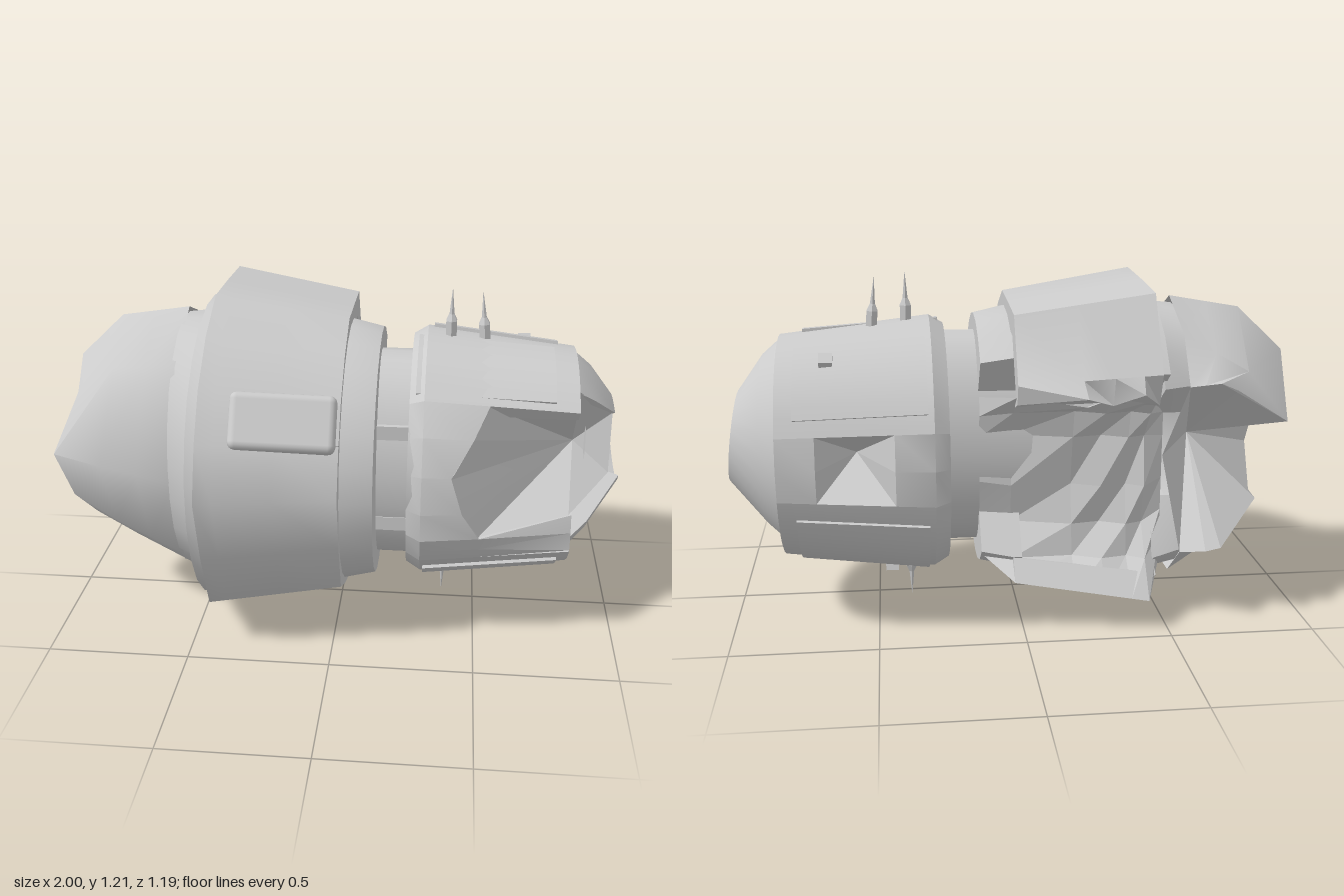
import * as THREE from 'three';
import { toCreasedNormals, mergeVertices } from 'three/addons/utils/BufferGeometryUtils.js';
import { RoundedBoxGeometry } from 'three/addons/geometries/RoundedBoxGeometry.js';

const mat = new THREE.MeshStandardMaterial({ color: 0xcccccc, side: THREE.DoubleSide });
const V = (x, y, z) => new THREE.Vector3(x, y, z);
const CY = 0.62, CZ = -0.05;

// point at station x, radius r, angle a in degrees (0 = top, 90 = front, 270 = back)
function polar(x, r, a, cy = CY, cz = CZ, rz = r) {
  const t = THREE.MathUtils.degToRad(a);
  return V(x, cy + r * Math.cos(t), cz + rz * Math.sin(t));
}

function meshFrom(name, tris, crease) {
  let geo = new THREE.BufferGeometry().setFromPoints(tris);
  geo = toCreasedNormals(mergeVertices(geo), crease);
  const m = new THREE.Mesh(geo, mat);
  m.name = name;
  return m;
}

// skin through a row of cross-sections; closed sections get end caps
function loft(name, rows, { closed = true, crease = 0.65 } = {}) {
  const tris = [], n = rows[0].length;
  for (let i = 0; i < rows.length - 1; i++) {
    for (let j = 0; j < (closed ? n : n - 1); j++) {
      const k = (j + 1) % n;
      const [a, b, c, d] = [rows[i][j], rows[i][k], rows[i + 1][k], rows[i + 1][j]];
      tris.push(a, b, c, a, c, d);
    }
  }
  if (closed) {
    for (const row of [rows[0], rows[rows.length - 1]]) {
      const mid = row.reduce((s, p) => s.add(p), V(0, 0, 0)).divideScalar(n);
      row.forEach((p, j) => tris.push(p, row[(j + 1) % n], mid));
    }
  }
  return meshFrom(name, tris, crease);
}

// closed [x, r, rz] profile swept round the hull axis between two angles
function arc(name, profile, a0, a1, n, cz = CZ) {
  const rows = [];
  for (let i = 0; i <= n; i++) {
    const a = a0 + ((a1 - a0) * i) / n;
    rows.push(profile.map(([x, r, rz = r]) => polar(x, r, a, CY, cz, rz)));
  }
  return loft(name, rows);
}

// torn hollow: folded faces running from a rim loop down to a pit
function crater(name, rim, pit, folds = [0.25, 0.5]) {
  const loop = [];
  rim.forEach((p, i) => loop.push(p, p.clone().lerp(rim[(i + 1) % rim.length], 0.5)));
  const mid = loop.map((p, i) => p.clone().lerp(pit, folds[i % 2]));
  const tris = [];
  loop.forEach((p, i) => {
    const k = (i + 1) % loop.length;
    tris.push(p, loop[k], mid[k], p, mid[k], mid[i], mid[i], mid[k], pit);
  });
  return meshFrom(name, tris, 0.05);
}

export function createModel() {
  const g = new THREE.Group();
  g.name = 'wreckedHull';

  // main armour ring, torn open at the back; outline is [z, y]
  const outline = [[-0.5, 0.88], [-0.54, 0.95], [-0.39, 1.19], [-0.16, 1.205], [0.07, 1.215], [0.26, 1.13], [0.42, 1.0],
    [0.52, 0.85], [0.59, 0.67], [0.52, 0.43], [0.42, 0.2], [0.24, 0.11], [0.05, 0.042], [-0.15, 0.042], [-0.45, 0.13]];
  const ringX = [-0.43, -0.37, -0.28, -0.18, 0.03];
  const tornZ = [-0.5, -0.56, -0.49, -0.6, -0.45];
  const ringPoint = (x, [z, y], k = 1) => {
    const s = k * (1 - 0.28 * (x + 0.43));
    return V(x, 0.63 + (y - 0.63) * s, -0.02 + (z + 0.02) * s);
  };
  g.add(loft('armourRing', outline.map((p, i) => {
    const outer = ringX.map((x, j) => (i === 0 ? V(x, 0.84 + (j % 2) * 0.05, tornZ[j]) : ringPoint(x, p)));
    const inner = ringX.map((x) => ringPoint(x, p, 0.84)).reverse();
    return [...outer, ...inner];
  }), { crease: 0.8 }));

  // breach wall: drops in from the torn edge, runs nearly flat, then flares to the lower lip
  const wall = [[0.78, -0.36], [0.68, -0.3], [0.5, -0.29], [0.36, -0.29], [0.25, -0.34]];
  const breach = [
    ringX.map((x, j) => V(x, 0.86, tornZ[j] + 0.02)),
    ...wall.map(([y, z], i) => ringX.map((x, j) => V(x, y, z + 0.12 * (x + 0.43) + (((i + j) % 2) - 0.5) * 0.03))),
    ringX.map((x) => ringPoint(x, [-0.45, 0.13])),
  ].map((row) => {
    const turnIn = (p, x) => V(x, CY + (p.y - CY) * 0.85, Math.max(p.z, -0.26));
    return [turnIn(row[0], -0.5), ...row, turnIn(row[4], 0.14)];
  });
  g.add(loft('breachWall', breach, { closed: false, crease: 0.05 }));

  // stepped bands either side of the armour ring
  g.add(arc('rearFlange', [[-0.47, 0.55], [-0.42, 0.555], [-0.42, 0.3], [-0.47, 0.3]], -55, 218, 18, -0.02));
  g.add(arc('rearBand', [[-0.57, 0.48, 0.39], [-0.46, 0.49, 0.47], [-0.46, 0.25], [-0.57, 0.25]], -58, 222, 18));
  g.add(arc('frontBand', [[0.0, 0.475], [0.03, 0.475], [0.14, 0.45], [0.14, 0.25], [0.0, 0.25]], -42, 222, 18, -0.02));
  const core = [-0.5, 0.3].map((x) => Array.from({ length: 24 }, (_, i) => polar(x, 0.39, i * 15, CY, 0, 0.255)));
  g.add(loft('neckCore', core));
  for (const a of [62, 118]) { // ribs crossing the neck
    const rib = new THREE.Mesh(new THREE.BoxGeometry(0.14, 0.05, 0.05), mat);
    rib.position.copy(polar(0.2, 0.37, a, CY, 0, 0.24));
    rib.name = 'neckRib';
    g.add(rib);
  }

  // rear dome with a ragged, notched rim
  const rim = [V(-0.72, 0.86, -0.41), V(-0.92, 0.73, -0.34), V(-0.97, 0.93, -0.08), V(-0.94, 0.85, 0.1), V(-1, 0.67, 0.25),
    V(-0.95, 0.5, 0.22), V(-0.925, 0.35, 0.06), V(-0.9, 0.37, -0.1), V(-0.7, 0.28, -0.36)];
  const domeAngles = [-60, -36, 0, 42, 90, 130, 165, 198, 226];
  const domeRows = rim.map((e, i) => {
    const s = polar(-0.555, 0.51, domeAngles[i], CY, -0.06, 0.4);
    const m = s.clone().lerp(e, 0.6);
    m.y += (m.y - CY) * [0.1, 0.25, 0.2, 0.2, 0.2, 0, 0, 0, 0][i];
    m.z += (m.z - CZ) * 0.06;
    return [s, s.clone().lerp(m, 0.5), m, e];
  });
  g.add(loft('rearDome', domeRows, { closed: false, crease: 0.9 }));
  const first = domeRows[0], last = domeRows[8];
  g.add(crater('rearHollow', [...rim, last[2], last[0], V(-0.5, 0.6, -0.27), first[0], first[2]], V(-0.66, 0.6, 0.02)));

  // nose hull: torn open at the front, holed at the back
  const noseR = (x) => (x < 0.3 ? 0.42 + (x - 0.25) * 0.6 : 0.45 - (x - 0.3) * 0.115);
  const slab = (x0, x1) => [[x0, noseR(x0)], ...(x0 < 0.3 ? [[0.3, 0.45]] : []), [x1, noseR(x1)], [x1, 0.33], [x0, 0.33]];
  g.add(arc('noseHullLower', slab(0.25, 0.82), 128, 256, 12));
  g.add(arc('noseHullUpper', slab(0.25, 0.82), 288, 406, 12));
  g.add(arc('noseHullBackAft', slab(0.25, 0.43), 256, 288, 2));
  g.add(arc('noseHullBackFore', slab(0.69, 0.82), 256, 288, 2));
  const torn = [[46, 0.52], [62, 0.47], [80, 0.4], [98, 0.44], [112, 0.5]];
  g.add(loft('noseHullTornEdge', torn.map(([a, x1]) => slab(0.25, x1).map(([x, r]) => polar(x, r * (1 - 0.05 * Math.sin((a - 46) / 21)), a)))));
  g.add(loft('noseHullBentLip', [[112, 0.3], [120, 0.345], [128, 0.385]].map(([a, r]) =>
    [[0.25, 0.42], [0.3, 0.45], [0.5, 0.427], [0.82, r], [0.82, r - 0.04], [0.25, 0.33]].map(([x, q]) => polar(x, q, a)))));
  g.add(arc('noseCollar', [[0.25, 0.41], [0.31, 0.41], [0.31, 0.2], [0.25, 0.2]], 0, 360, 24));

  const onNose = (x, a, out = 0) => polar(x, noseR(x) + out, a);
  const frontRim = [...torn.map(([a, x]) => onNose(x, a, -0.01)).reverse(), onNose(0.81, 46), polar(0.82, 0.365, 35, 0.64),
    V(0.96, 0.8, -0.01), V(0.96, 0.58, 0.02), polar(0.81, 0.3, 112)];
  g.add(crater('frontHollow', frontRim, V(0.83, 0.68, -0.03), [0.3, 0.42]));
  const backRim = [[0.43, 256], [0.56, 256], [0.69, 256], [0.69, 272], [0.69, 288], [0.56, 288], [0.43, 288], [0.43, 272]];
  g.add(crater('backHole', backRim.map(([x, a]) => onNose(x, a)), V(0.56, 0.64, -0.25), [0.1, 0.3]));

  // nose cone with a round mouth, broken away towards the front
  const coneRows = [];
  for (let i = 0; i <= 18; i++) {
    const a = 128 + (267 * i) / 18, tip = 0.985 - 0.02 * Math.cos(THREE.MathUtils.degToRad(a));
    coneRows.push([polar(0.81, 0.365, a, 0.64), polar(0.88, 0.3, a, 0.645, -0.06),
      polar(tip, 0.158, a, 0.67, -0.1), polar(0.86, 0.11, a, 0.67, -0.1), polar(0.81, 0.2, a, 0.65, -0.07)]);
  }
  g.add(loft('noseCone', coneRows));
  const mouth = new THREE.Mesh(new THREE.CircleGeometry(0.13, 24), mat);
  mouth.rotation.y = Math.PI / 2;
  mouth.position.set(0.87, 0.67, -0.1);
  mouth.name = 'mouthFloor';
  g.add(mouth);

  // raised plates lying on the nose hull
  for (const [a0, a1, x0, x1] of [[2, 42, 0.27, 0.74], [296, 350, 0.32, 0.76], [136, 172, 0.31, 0.78], [190, 246, 0.32, 0.76]]) {
    g.add(arc('nosePlate', [[x0, noseR(x0) + 0.01], [x1, noseR(x1) + 0.01], [x1, 0.36], [x0, 0.36]], a0, a1, 8));
  }

  // side pod on the armour ring
  const pod = new THREE.Group();
  pod.name = 'sidePod';
  const body = new THREE.Mesh(new RoundedBoxGeometry(0.35, 0.19, 0.13, 2, 0.025), mat);
  body.name = 'podBody';
  const vent = new THREE.Mesh(new THREE.BoxGeometry(0.02, 0.13, 0.06), mat);
  vent.position.x = 0.175;
  vent.name = 'podVent';
  pod.add(body, vent);
  pod.position.set(-0.155, 0.89, 0.415);
  pod.rotation.set(-0.55, 0.09, 0);
  g.add(pod);

  // antenna spikes
  const spikeProfile = [[0, 0], [0.022, 0], [0.022, 0.06], [0.01, 0.085], [0, 0.18]].map(([x, y]) => new THREE.Vector2(x, y));
  for (const [x, y, z, dir, tilt] of [[0.38, 1.05, -0.05, 1, 0], [0.5, 1.035, -0.07, 1, 0.08], [0.38, 0.2, -0.05, -1, 0]]) {
    const spike = new THREE.Mesh(toCreasedNormals(new THREE.LatheGeometry(spikeProfile, 6), 0.3), mat);
    spike.position.set(x, y, z);
    spike.rotation.set(dir < 0 ? Math.PI : 0, 0, tilt);
    spike.name = 'antennaSpike';
    g.add(spike);
  }

  // small fittings on the nose hull
  for (const [x, a] of [[0.65, 325], [0.45, 198]]) {
    const box = new THREE.Mesh(new THREE.BoxGeometry(0.045, 0.04, 0.045), mat);
    box.position.copy(onNose(x, a, 0.01));
    box.rotation.x = THREE.MathUtils.degToRad(a);
    box.name = 'hullFitting';
    g.add(box);
  }
  return g;
}
